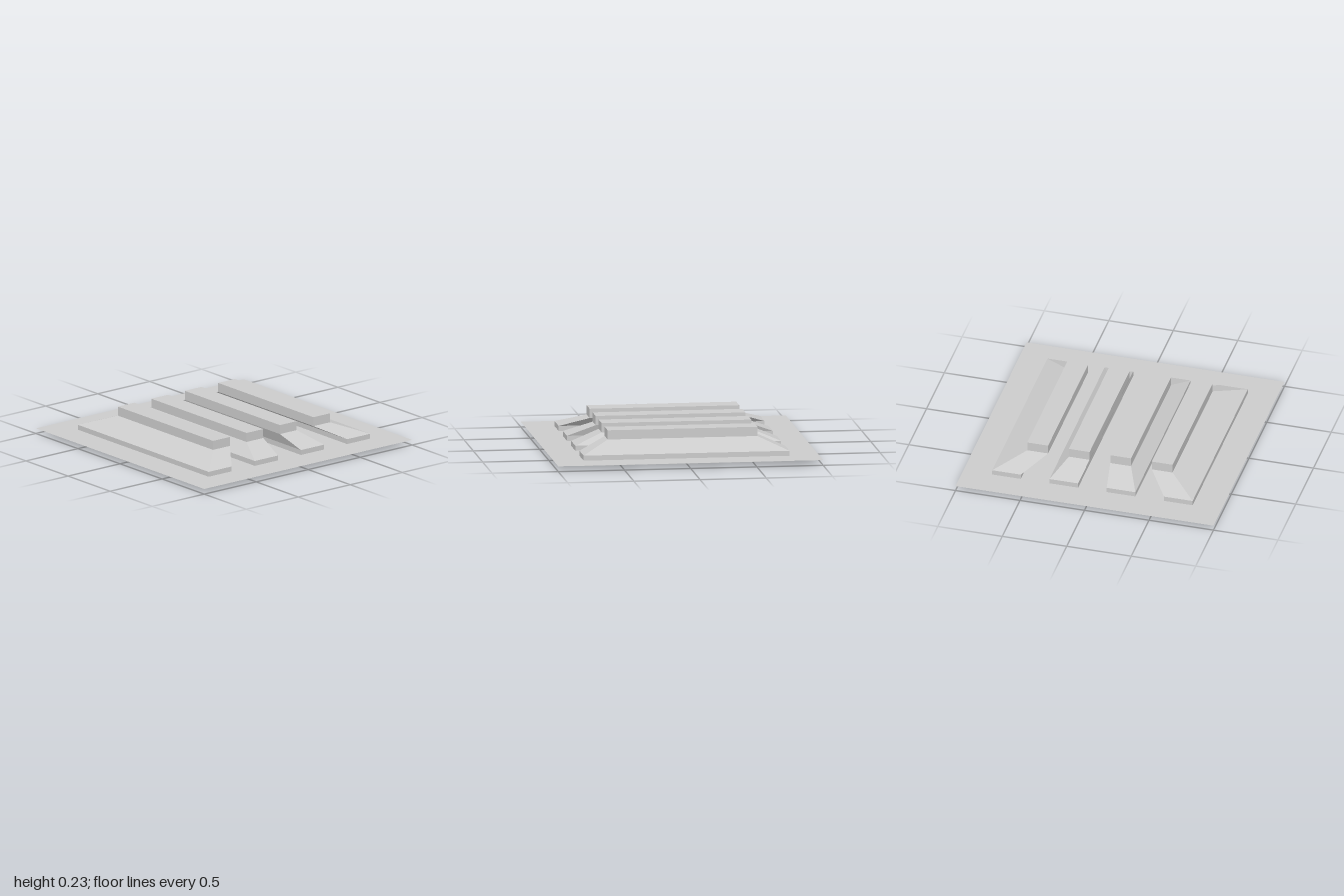
import * as THREE from 'three';

const material = new THREE.MeshStandardMaterial({ color: 0xcccccc, flatShading: true });

// Stacks rectangular sections [y, x0, x1, halfDepth] into a closed solid.
function loft(sections) {
  const rings = sections.map(([y, x0, x1, d]) => [[x0, y, d], [x1, y, d], [x1, y, -d], [x0, y, -d]]);
  const pos = [];
  const quad = (a, b, c, d) => pos.push(...a, ...b, ...c, ...a, ...c, ...d);
  for (let r = 0; r < rings.length - 1; r++) {
    for (let i = 0; i < 4; i++) {
      const j = (i + 1) % 4;
      quad(rings[r][i], rings[r][j], rings[r + 1][j], rings[r + 1][i]);
    }
  }
  quad(...rings[0].slice().reverse());
  quad(...rings[rings.length - 1]);
  const geometry = new THREE.BufferGeometry();
  geometry.setAttribute('position', new THREE.Float32BufferAttribute(pos, 3));
  geometry.computeVertexNormals();
  return geometry;
}

export function createModel() {
  const group = new THREE.Group();

  // Thin ground sheet, crossing the feet of the bars
  const sheet = new THREE.Mesh(
    new THREE.PlaneGeometry(2, 2).rotateX(-Math.PI / 2),
    new THREE.MeshStandardMaterial({ color: 0xcccccc, side: THREE.DoubleSide })
  );
  sheet.name = 'groundSheet';
  sheet.position.y = 0.04;
  group.add(sheet);

  // Bars: wide foot, sloped shoulder and narrow top leaning to the middle
  const bars = [
    { name: 'OuterBar', foot: [0.555, 0.777], top: [0.402, 0.563] },
    { name: 'InnerBar', foot: [0.111, 0.333], top: [0.08, 0.241] },
  ];
  for (const side of [1, -1]) {
    for (const { name, foot, top } of bars) {
      const mirror = ([a, b]) => (side > 0 ? [a, b] : [-b, -a]);
      const bar = new THREE.Mesh(loft([
        [0, ...mirror(foot), 0.777],
        [0.078, ...mirror(foot), 0.777],
        [0.159, ...mirror(top), 0.565],
        [0.229, ...mirror(top), 0.565],
      ]), material);
      bar.name = (side > 0 ? 'left' : 'right') + name;
      group.add(bar);
    }
  }
  return group;
}
